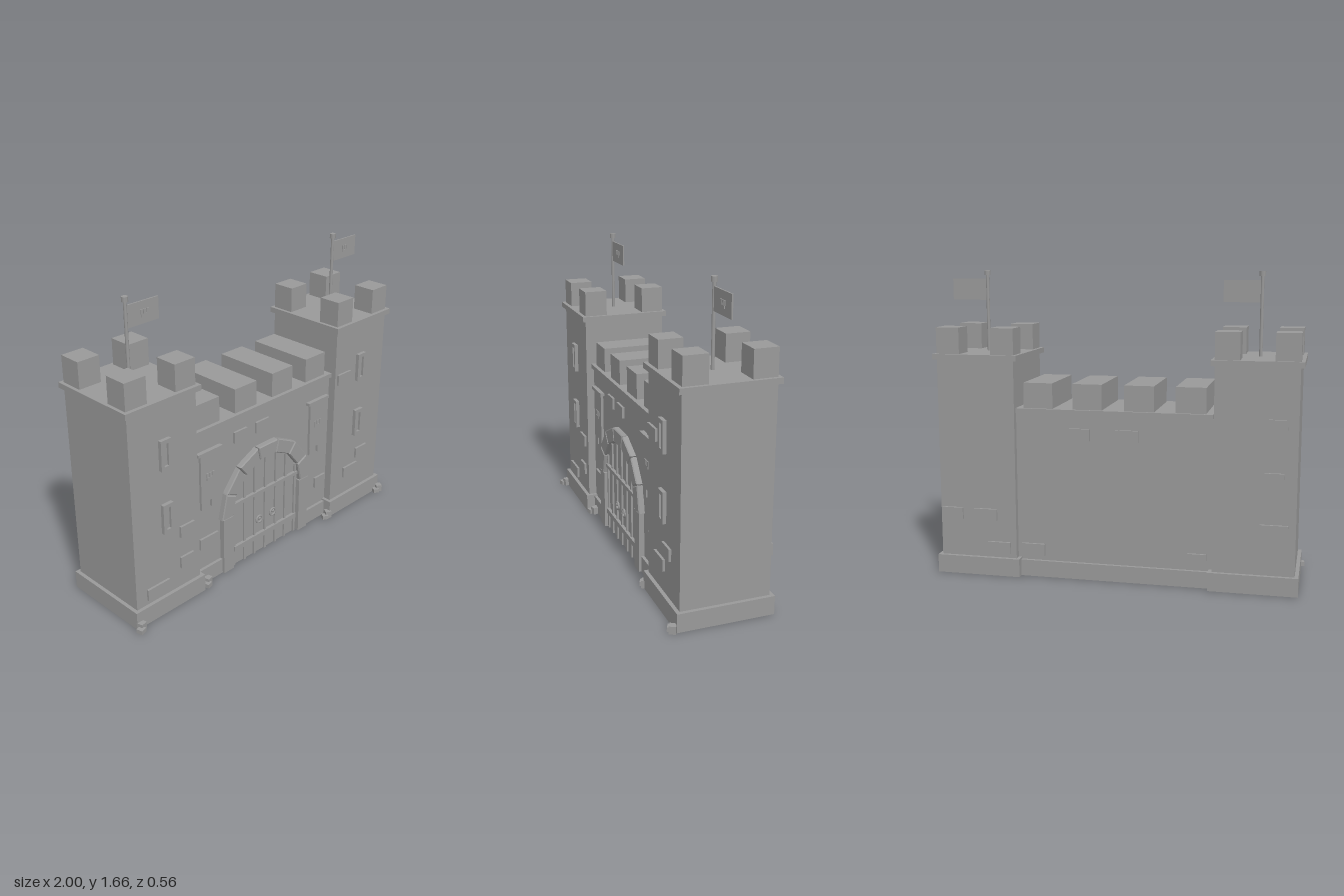
import * as THREE from 'three';

const stone = new THREE.MeshStandardMaterial({ color: 0x999999 });
stone.name = 'stone grey';

function add(parent, name, geometry, x = 0, y = 0, z = 0) {
  const mesh = new THREE.Mesh(geometry, stone);
  mesh.name = name;
  mesh.position.set(x, y, z);
  parent.add(mesh);
  return mesh;
}

// Box given by its limits on each axis
function box(parent, name, x0, x1, y0, y1, z0, z1) {
  return add(parent, name, new THREE.BoxGeometry(x1 - x0, y1 - y0, z1 - z0),
    (x0 + x1) / 2, (y0 + y1) / 2, (z0 + z1) / 2);
}

function group(parent, name, x = 0, y = 0, z = 0) {
  const g = new THREE.Group();
  g.name = name;
  g.position.set(x, y, z);
  parent.add(g);
  return g;
}

// Plain crown: a bar with three prongs
function crown(parent, x, y, z, s) {
  const g = group(parent, 'crownEmblem', x, y, z);
  box(g, 'crownBand', -0.4 * s, 0.4 * s, -0.35 * s, -0.1 * s, -0.003, 0.003);
  for (const i of [-1, 0, 1]) {
    box(g, 'crownProng', (i * 0.36 - 0.12) * s, (i * 0.36 + 0.12) * s, -0.1 * s, 0.35 * s, -0.003, 0.003);
  }
}

function tower(parent, name, x) {
  const g = group(parent, name, x);
  box(g, 'towerBody', -0.215, 0.215, 0.1, 1.185, -0.26, 0.215);
  box(g, 'towerBase', -0.235, 0.235, 0, 0.1, -0.28, 0.235);
  box(g, 'towerCap', -0.235, 0.235, 1.185, 1.215, -0.277, 0.235);
  for (const mx of [-0.152, 0.152]) {
    for (const mz of [0.15, -0.195]) {
      box(g, 'towerMerlon', mx - 0.064, mx + 0.064, 1.215, 1.357, mz - 0.064, mz + 0.064);
    }
  }

  // Narrow windows: raised frame around a sunken slit
  for (const y of [0.56, 0.918]) {
    const s = new THREE.Shape([[-0.033, -0.083], [0.033, -0.083], [0.033, 0.083], [-0.033, 0.083]]
      .map(p => new THREE.Vector2(...p)));
    s.holes.push(new THREE.Path([[-0.014, -0.062], [-0.014, 0.062], [0.014, 0.062], [0.014, -0.062]]
      .map(p => new THREE.Vector2(...p))));
    add(g, 'windowFrame', new THREE.ExtrudeGeometry(s, { depth: 0.02, bevelEnabled: false }), 0, y, 0.215);
    box(g, 'windowSlit', -0.014, 0.014, y - 0.062, y + 0.062, 0.215, 0.222);
  }

  // Flag on its pole
  const f = group(g, 'flag', 0.002, 1.215, -0.025);
  add(f, 'flagPole', new THREE.CylinderGeometry(0.009, 0.009, 0.42, 12), 0, 0.21, 0);
  add(f, 'poleFinial', new THREE.CylinderGeometry(0.017, 0.017, 0.026, 8), 0, 0.428, 0);
  box(f, 'flagCloth', 0.008, 0.2, 0.28, 0.395, -0.004, 0.004);
  crown(f, 0.11, 0.335, 0.006, 0.055);
}

// Hanging banner with two tails
function banner(parent, x) {
  const g = group(parent, 'banner', x, 0, 0.178);
  box(g, 'bannerRod', -0.085, 0.085, 0.785, 0.802, -0.008, 0.016);
  box(g, 'bannerCloth', -0.063, 0.063, 0.505, 0.787, -0.008, 0.007);
  for (const s of [-1, 1]) box(g, 'bannerTail', s * 0.036 - 0.025, s * 0.036 + 0.025, 0.46, 0.505, -0.008, 0.007);
  crown(g, 0, 0.65, 0.009, 0.06);
}

function gate(parent) {
  const g = group(parent, 'gate', 0.005);
  const cy = 0.34, rIn = 0.272, rOut = 0.352, count = 7;

  // Wedge stones of the arch
  for (let i = 0; i < count; i++) {
    const a = Math.PI * i / count + 0.008, b = Math.PI * (i + 1) / count - 0.008;
    const pts = [[rIn, a], [rOut, a], [rOut, b], [rIn, b]]
      .map(([r, t]) => new THREE.Vector2(r * Math.cos(t), r * Math.sin(t)));
    add(g, 'archStone', new THREE.ExtrudeGeometry(new THREE.Shape(pts), {
      depth: 0.028, bevelSize: 0.005, bevelOffset: -0.005, bevelThickness: 0.006, bevelSegments: 1,
    }), 0, cy, 0.17);
  }
  for (const s of [-1, 1]) box(g, 'gatePillar', s * 0.303 - 0.038, s * 0.303 + 0.038, 0, cy, 0.15, 0.2);

  // Arched door leaf with upright planks, cross bars and ring handles
  const leaf = new THREE.Shape();
  leaf.moveTo(-rIn, 0);
  leaf.lineTo(rIn, 0);
  leaf.lineTo(rIn, cy);
  leaf.absarc(0, cy, rIn, 0, Math.PI, false);
  add(g, 'doorLeaf', new THREE.ExtrudeGeometry(leaf, { depth: 0.02, bevelEnabled: false, curveSegments: 20 }), 0, 0, 0.155);
  for (const x of [-0.245, -0.165, -0.085, 0, 0.085, 0.165, 0.245]) {
    const top = cy + Math.sqrt(rIn * rIn - x * x) - 0.005;
    box(g, 'doorBar', x - 0.007, x + 0.007, 0, top, 0.17, 0.185);
  }
  box(g, 'doorCrossBar', -0.25, 0.25, 0.095, 0.125, 0.17, 0.193);
  box(g, 'doorCrossBar', -0.255, 0.255, 0.385, 0.405, 0.17, 0.193);
  for (const x of [-0.055, 0.055]) {
    add(g, 'doorRing', new THREE.TorusGeometry(0.021, 0.006, 8, 20), x, 0.22, 0.188);
    add(g, 'doorKnob', new THREE.SphereGeometry(0.011, 10, 8), x, 0.228, 0.188);
  }
}

export function createModel() {
  const model = new THREE.Group();
  model.name = 'castleGate';
  tower(model, 'rightTower', -0.747);
  tower(model, 'leftTower', 0.753);

  // Curtain wall between the towers
  const wall = group(model, 'curtainWall');
  box(wall, 'wallBody', -0.54, 0.55, 0, 0.905, -0.225, 0.17);
  box(wall, 'wallLedge', -0.525, 0.535, 0.905, 0.93, -0.24, 0.188);
  box(wall, 'wallBaseBack', -0.53, 0.54, 0, 0.09, -0.243, -0.2);
  box(wall, 'wallBaseRight', -0.53, -0.335, 0, 0.09, 0.15, 0.187);
  box(wall, 'wallBaseLeft', 0.345, 0.54, 0, 0.09, 0.15, 0.187);
  for (const x of [-0.408, -0.135, 0.145, 0.415]) {
    box(wall, 'wallMerlon', x - 0.08, x + 0.08, 0.93, 1.067, -0.223, 0.166);
  }
  banner(wall, -0.418);
  banner(wall, 0.43);
  gate(model);

  // Raised bricks: centre x, centre y, width, and the face they sit on
  const bricks = [
    [-0.822, 0.16, 0.145, 0.215], [-0.617, 0.432, 0.095, 0.215], [-0.623, 0.248, 0.09, 0.215],
    [0.61, 0.888, 0.11, 0.215], [0.805, 0.342, 0.1, 0.215], [0.708, 0.248, 0.125, 0.215],
    [-0.425, 0.248, 0.13, 0.17], [0.478, 0.248, 0.09, 0.17],
    [-0.187, 0.797, 0.095, 0.17], [-0.02, 0.797, 0.1, 0.17],
    [-0.86, 0.888, 0.1, -0.26], [-0.845, 0.612, 0.1, -0.26], [-0.85, 0.34, 0.145, -0.26],
    [0.9, 0.34, 0.12, -0.26], [0.71, 0.34, 0.13, -0.26], [0.635, 0.157, 0.13, -0.26],
    [0.185, 0.797, 0.11, -0.225], [-0.07, 0.797, 0.125, -0.225],
    [0.45, 0.15, 0.13, -0.225], [-0.45, 0.15, 0.1, -0.225],
  ];
  for (const [x, y, w, z] of bricks) {
    box(model, 'raisedBrick', x - w / 2, x + w / 2, y - 0.032, y + 0.032, z - 0.013, z + 0.013);
  }

  // Pairs of loose stones at the foot of the towers
  for (const [x, z, turn] of [[-0.97, 0.25, 0.25], [-0.47, 0.208, 0.25], [0.5, 0.225, -0.5], [0.965, 0.25, -0.5]]) {
    const g = group(model, 'looseStones', x, 0, z);
    g.rotation.y = turn;
    box(g, 'tallStone', -0.008, 0.028, 0, 0.042, -0.022, 0.014);
    box(g, 'lowStone', -0.03, 0.006, 0, 0.024, -0.008, 0.026);
  }
  return model;
}
